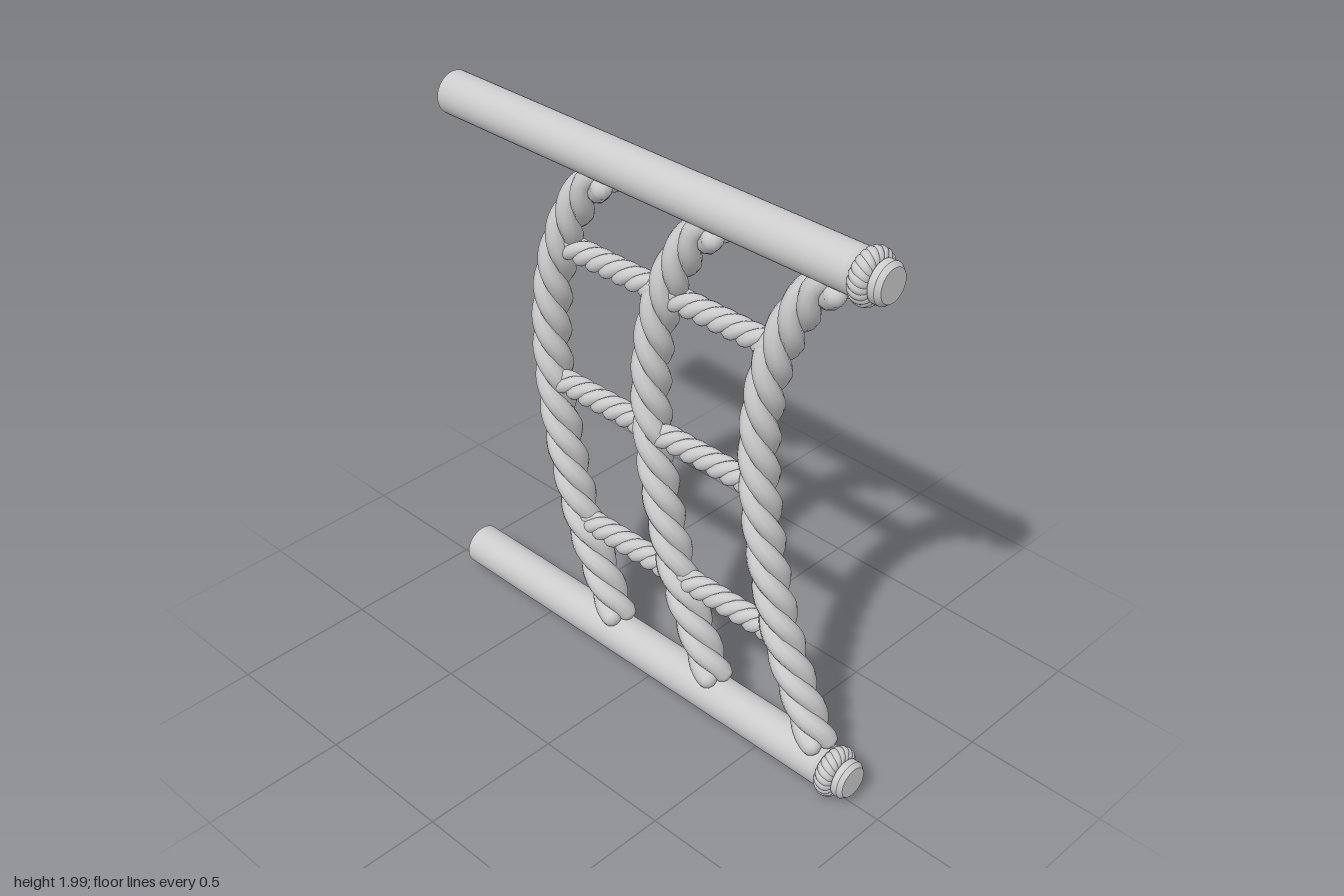
import * as THREE from 'three';

const material = new THREE.MeshStandardMaterial({ color: 0xcccccc });
const V = (x, y, z = 0) => new THREE.Vector3(x, y, z);

// One strand winding right-handed around a planar centre line.
class StrandCurve extends THREE.Curve {
  constructor(axis, planeNormal, offset, turns, phase) {
    super();
    Object.assign(this, { axis, planeNormal, offset, turns, phase });
  }
  getPoint(t, target = new THREE.Vector3()) {
    const u = Math.min(Math.max(t, 0), 1);
    const side = this.axis.getTangentAt(u).cross(this.planeNormal).normalize();
    const a = this.phase + u * this.turns * Math.PI * 2;
    return target.copy(this.axis.getPointAt(u))
      .addScaledVector(this.planeNormal, Math.cos(a) * this.offset)
      .addScaledVector(side, -Math.sin(a) * this.offset);
  }
}

// Circle in the yz plane, for the lashings on the poles.
class RingCurve extends THREE.Curve {
  constructor(radius) {
    super();
    this.radius = radius;
  }
  getPoint(t, target = new THREE.Vector3()) {
    const a = t * Math.PI * 2;
    return target.set(0, Math.cos(a) * this.radius, Math.sin(a) * this.radius);
  }
}

// Three-strand twisted rope; open ropes get rounded strand ends.
function makeRope(name, axis, { radius, turns, segments, normal = V(0, 0, 1), closed = false }) {
  const rope = new THREE.Group();
  rope.name = name;
  const strandRadius = radius * 0.52;
  for (let i = 0; i < 3; i++) {
    const path = new StrandCurve(axis, normal, radius - strandRadius, turns, i * Math.PI * 2 / 3);
    const strand = new THREE.Mesh(new THREE.TubeGeometry(path, segments, strandRadius, 10, closed), material);
    strand.name = 'strand';
    rope.add(strand);
    if (closed) continue;
    for (const t of [0, 1]) {
      const end = new THREE.Mesh(new THREE.SphereGeometry(strandRadius, 10, 8), material);
      end.name = 'strandEnd';
      end.position.copy(path.getPoint(t));
      rope.add(end);
    }
  }
  return rope;
}

// Lathe with hard edges: every profile segment gets its own normals.
function makeTurned(name, profile) {
  const group = new THREE.Group();
  group.name = name;
  for (let i = 0; i < profile.length - 1; i++) {
    const points = [profile[i], profile[i + 1]].map(([r, x]) => new THREE.Vector2(r, x));
    const mesh = new THREE.Mesh(new THREE.LatheGeometry(points, 32), material);
    mesh.name = 'poleSurface';
    mesh.rotation.z = -Math.PI / 2;
    group.add(mesh);
  }
  return group;
}

export function createModel() {
  const model = new THREE.Group();
  model.name = 'ropeNet';

  // Two poles with a grooved, lashed end
  const poleProfile = [
    [0, -0.893], [0.073, -0.893], [0.073, 0.775], [0.065, 0.787], [0.052, 0.79],
    [0.052, 0.85], [0.066, 0.855], [0.066, 0.878], [0.054, 0.893], [0, 0.893],
  ];
  for (const [label, y] of [['top', 1.911], ['bottom', 0.097]]) {
    const pole = makeTurned(label + 'Pole', poleProfile);
    pole.position.y = y;
    const lashing = makeRope(label + 'Lashing', new RingCurve(0.056), {
      radius: 0.033, turns: 7, segments: 168, normal: V(1, 0, 0), closed: true,
    });
    lashing.position.set(0.818, y, 0);
    model.add(pole, lashing);
  }

  // Three sagging upright ropes, listed from the bottom up
  const sag = [
    [-0.175, 0.18], [-0.22, 0.26], [-0.345, 0.53], [-0.425, 0.82], [-0.458, 1.02],
    [-0.468, 1.22], [-0.44, 1.45], [-0.39, 1.6], [-0.33, 1.72], [-0.265, 1.805], [-0.205, 1.838],
  ];
  ['right', 'middle', 'left'].forEach((label, i) => {
    const axis = new THREE.CatmullRomCurve3(sag.map(([x, y]) => V(x + i * 0.457, y)));
    model.add(makeRope(label + 'UprightRope', axis, { radius: 0.067, turns: 4.9, segments: 150 }));
  });

  // Thin cross ropes running between the uprights
  for (const [label, x, y] of [['top', -0.4, 1.55], ['middle', -0.45, 1.03], ['bottom', -0.34, 0.51]]) {
    const axis = new THREE.LineCurve3(V(x, y), V(x + 0.9, y));
    model.add(makeRope(label + 'CrossRope', axis, { radius: 0.044, turns: 5.2, segments: 120 }));
  }
  return model;
}
